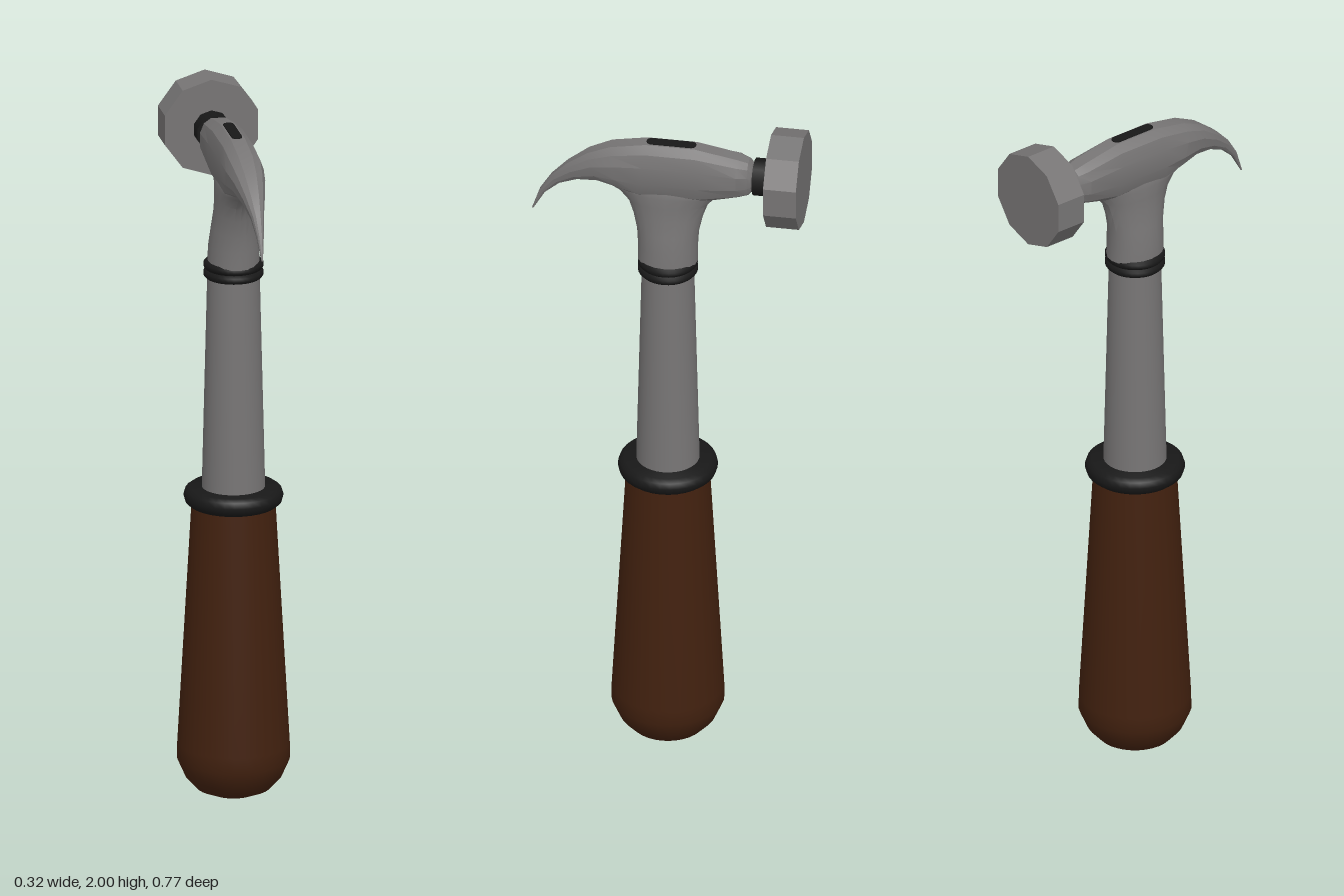
import * as THREE from 'three';
import { toCreasedNormals } from 'three/addons/utils/BufferGeometryUtils.js';

const metal = new THREE.MeshStandardMaterial({ color: 0x777575 });
const rubber = new THREE.MeshStandardMaterial({ color: 0x181818 });
const wood = new THREE.MeshStandardMaterial({ color: 0x42210f });

// Skin closed rings of points, with a fan cap at both ends
function loft(rings, crease) {
  const pos = [];
  const n = rings[0].length;
  const tri = (...pts) => pts.forEach((p) => pos.push(p.x, p.y, p.z));
  const mid = (ring) => ring.reduce((s, p) => s.add(p), new THREE.Vector3()).divideScalar(n);
  const first = rings[0], last = rings[rings.length - 1];
  for (let j = 0; j < n; j++) {
    const k = (j + 1) % n;
    for (let i = 0; i < rings.length - 1; i++) {
      const [a, b, c, d] = [rings[i][j], rings[i][k], rings[i + 1][j], rings[i + 1][k]];
      tri(a, b, d);
      tri(a, d, c);
    }
    tri(mid(first), first[k], first[j]);
    tri(mid(last), last[j], last[k]);
  }
  const g = new THREE.BufferGeometry();
  g.setAttribute('position', new THREE.Float32BufferAttribute(pos, 3));
  return toCreasedNormals(g, crease);
}

function lathe(points, segments, crease = 0.5) {
  const g = new THREE.LatheGeometry(points.map(([r, y]) => new THREE.Vector2(r, y)), segments);
  return toCreasedNormals(g, crease);
}

export function createModel() {
  const model = new THREE.Group();
  const add = (name, geometry, material, x = 0, y = 0, z = 0) => {
    const mesh = new THREE.Mesh(geometry, material);
    mesh.name = name;
    mesh.position.set(x, y, z);
    model.add(mesh);
    return mesh;
  };

  // Handle
  add('grip', lathe([[0, 0], [0.065, 0.003], [0.105, 0.02], [0.135, 0.053], [0.158, 0.105],
    [0.157, 0.15], [0.117, 0.86], [0, 0.86]], 32), wood);
  add('gripCollar', lathe([[0, 0.85], [0.123, 0.85], [0.135, 0.86], [0.14, 0.877],
    [0.135, 0.893], [0.123, 0.902], [0, 0.902]], 32, 0.8), rubber);
  add('shaft', lathe([[0, 0.88], [0.089, 0.88], [0.073, 1.54], [0, 1.54]], 32), metal);
  for (const [i, y] of [1.53, 1.555].entries()) {
    add('shaftRing' + (i + 1), lathe([[0, y - 0.012], [0.078, y - 0.012], [0.084, y - 0.005],
      [0.084, y + 0.005], [0.078, y + 0.012], [0, y + 0.012]], 32, 0.9), rubber);
  }

  // Socket flaring from the shaft into the head: height, half width, half depth
  const socket = [[1.56, 0.073, 0.085], [1.61, 0.07, 0.085], [1.66, 0.062, 0.088], [1.71, 0.053, 0.099],
    [1.75, 0.05, 0.113], [1.78, 0.048, 0.14], [1.805, 0.043, 0.19], [1.83, 0.03, 0.19]];
  add('socket', loft(socket.map(([y, w, d]) => Array.from({ length: 20 }, (_, j) => {
    const t = (j / 20) * Math.PI * 2;
    return new THREE.Vector3(w * Math.cos(t), y, -d * Math.sin(t));
  })), 0.5), metal);

  // Head and curved claw: top z, top y, bottom z, bottom y, half width
  const sections = [
    [-0.255, 1.905, -0.255, 1.81, 0.042], [-0.24, 1.895, -0.24, 1.815, 0.035],
    [-0.23, 1.908, -0.23, 1.803, 0.042], [-0.2, 1.918, -0.2, 1.795, 0.053],
    [-0.08, 1.94, -0.1, 1.77, 0.054], [0.06, 1.94, 0.08, 1.77, 0.054],
    [0.16, 1.922, 0.13, 1.79, 0.054], [0.225, 1.893, 0.19, 1.808, 0.045],
    [0.285, 1.848, 0.25, 1.803, 0.031], [0.33, 1.802, 0.305, 1.78, 0.018],
    [0.362, 1.752, 0.348, 1.742, 0.01], [0.385, 1.685, 0.381, 1.684, 0.002]];
  const power = (v, e) => Math.sign(v) * Math.abs(v) ** e;
  add('headAndClaw', loft(sections.map(([tz, ty, bz, by, w]) => Array.from({ length: 12 }, (_, j) => {
    const t = ((j + 0.5) / 12) * Math.PI * 2;
    const s = (power(Math.sin(t), 0.85) / power(Math.sin(Math.PI * 5 / 12), 0.85) + 1) / 2;
    const x = w * power(Math.cos(t) / Math.cos(Math.PI / 12), 0.75);
    return new THREE.Vector3(x, by + (ty - by) * s, bz + (tz - bz) * s);
  })), 0.35), metal);

  // Dark slot set into the top of the head
  const slot = new THREE.Shape();
  slot.absarc(0, 0.055, 0.015, 0, Math.PI);
  slot.absarc(0, -0.065 + 0.01, 0.015, Math.PI, Math.PI * 2);
  const slotMesh = add('topSlot', new THREE.ExtrudeGeometry(slot,
    { depth: 0.03, bevelEnabled: false, curveSegments: 8 }), rubber, 0, 1.913, -0.01);
  slotMesh.rotation.x = -Math.PI / 2;

  // Striking face and its dark neck
  const neck = add('strikerNeck', new THREE.CylinderGeometry(0.053, 0.053, 0.05, 10), rubber, 0, 1.857, -0.27);
  const striker = add('striker', toCreasedNormals(new THREE.CylinderGeometry(0.14, 0.14, 0.093, 10), 0.3),
    metal, 0, 1.86, -0.3385);
  neck.rotation.x = striker.rotation.x = -Math.PI / 2;

  return model;
}
